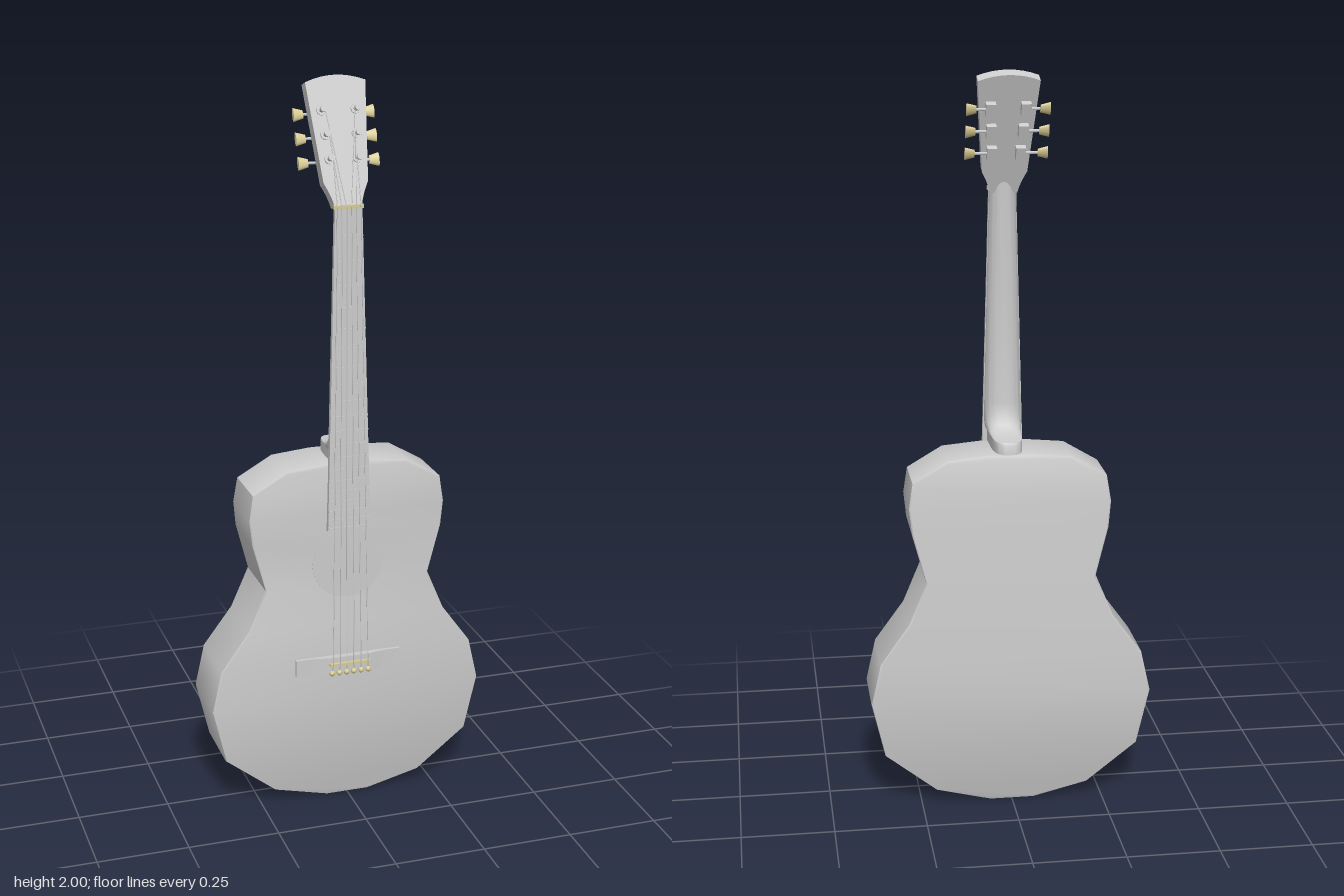
import * as THREE from 'three';
import { toCreasedNormals } from 'three/addons/utils/BufferGeometryUtils.js';

const grey = new THREE.MeshStandardMaterial({ color: 0xcccccc });
const ivory = new THREE.MeshStandardMaterial({ color: 0xd8cb94 });
const V = (x, y, z) => new THREE.Vector3(x, y, z);

function add(parent, name, geometry, material = grey, x = 0, y = 0, z = 0) {
  const mesh = new THREE.Mesh(geometry, material);
  mesh.name = name;
  mesh.position.set(x, y, z);
  parent.add(mesh);
  return mesh;
}

// Skin a list of equal rings; each end is closed by strips joining point i to its mirror point.
function loft(rings, crease = 0.5) {
  const n = rings[0].length, last = (rings.length - 1) * n, index = [];
  const quad = (a, b, c, d) => index.push(a, b, c, a, c, d);
  for (let r = 0; r < rings.length - 1; r++) {
    for (let i = 0; i < n; i++) {
      const a = r * n, j = (i + 1) % n;
      quad(a + i, a + n + i, a + n + j, a + j);
    }
  }
  for (let i = 0; i < n / 2 - 1; i++) {
    const m = n - 1 - i;
    quad(i, i + 1, m - 1, m);
    quad(last + m, last + m - 1, last + i + 1, last + i);
  }
  const geometry = new THREE.BufferGeometry().setFromPoints(rings.flat());
  geometry.setIndex(index);
  return toCreasedNormals(geometry, crease);
}

// Thin round bar between two points
function rod(parent, name, a, b, radius, material = grey) {
  const mesh = add(parent, name, new THREE.CylinderGeometry(radius, radius, a.distanceTo(b), 6), material);
  mesh.position.copy(a).lerp(b, 0.5);
  mesh.quaternion.setFromUnitVectors(V(0, 1, 0), b.clone().sub(a).normalize());
}

function buildBody(model) {
  const half = [[0.06, 0.003], [0.21, 0.04], [0.35, 0.15], [0.386, 0.305], [0.36, 0.42], [0.28, 0.53],
    [0.232, 0.645], [0.268, 0.78], [0.275, 0.85], [0.264, 0.92], [0.168, 0.977], [0.06, 0.987]];
  const outline = [...half, ...half.map(([x, y]) => [-x, y]).reverse()];
  // The back tapers toward the neck
  const back = y => -0.116 + 0.04 * Math.pow(Math.max(0, (y - 0.42) / 0.57), 1.2);
  const ring = (s, z) => outline.map(([x, y]) => V(x * s, 0.5 + (y - 0.5) * s, z(y)));
  add(model, 'body', loft([
    ring(0.985, () => 0.084), ring(0.996, () => 0.082), ring(1, () => 0.077),
    ring(1, y => back(y) + 0.009), ring(0.996, y => back(y) + 0.003), ring(0.982, back),
  ], 0.6));
  const hole = add(model, 'soundHole', new THREE.CylinderGeometry(0.1, 0.1, 0.002, 40), grey, 0, 0.7, 0.0842);
  hole.rotation.x = Math.PI / 2;
}

function buildNeck(model) {
  // Height, half width, front z, back z, squareness of the rounded back
  const rows = [[1.72, 0.034, 0.064, 0.042, 1], [1.68, 0.036, 0.078, 0.044, 1], [1.4, 0.043, 0.081, 0.043, 1],
    [1.1, 0.05, 0.085, 0.043, 0.9], [1.065, 0.05, 0.085, 0.038, 0.85], [1.042, 0.05, 0.085, 0.025, 0.75],
    [1.028, 0.048, 0.085, 0.002, 0.65], [1.021, 0.045, 0.085, -0.03, 0.55], [1.018, 0.042, 0.085, -0.068, 0.5],
    [1.01, 0.042, 0.085, -0.073, 0.5], [0.972, 0.042, 0.084, -0.073, 0.5]];
  const steps = 17;
  add(model, 'neck', loft(rows.map(([y, w, front, back, p]) => Array.from({ length: steps + 1 }, (_, i) => {
    const t = Math.PI * i / steps, c = Math.cos(t);
    return V(w * Math.sign(c) * Math.pow(Math.abs(c), p), y, front - (front - back) * Math.pow(Math.abs(Math.sin(t)), p));
  })), 0.7));

  const slab = (y, w, front, back) => [V(w, y, front), V(w, y, back), V(-w, y, back), V(-w, y, front)];
  add(model, 'fretboard', loft([slab(1.675, 0.037, 0.088, 0.076), slab(0.8, 0.06, 0.098, 0.083)]));

  // Frets follow equal-tempered spacing
  for (let n = 1; n <= 20; n++) {
    const y = 0.41 + 1.265 * Math.pow(2, -n / 12), t = (1.675 - y) / 0.875;
    add(model, 'fret', new THREE.BoxGeometry(0.074 + 0.046 * t, 0.004, 0.004), grey, 0, y, 0.088 + 0.01 * t);
  }
  add(model, 'nut', new THREE.BoxGeometry(0.08, 0.01, 0.016), ivory, 0, 1.68, 0.083);
}

// Headstock with its tuners; returns the string anchor points from the lowest post upward
function buildHeadstock(model) {
  const head = new THREE.Group();
  head.name = 'headstock';
  head.position.set(0, 1.682, 0.085);
  head.rotation.x = -0.35;
  model.add(head);

  const shape = new THREE.Shape();
  shape.moveTo(-0.037, 0);
  shape.lineTo(0.037, 0);
  shape.quadraticCurveTo(0.041, 0.025, 0.06, 0.062);
  shape.lineTo(0.081, 0.322);
  shape.quadraticCurveTo(0, 0.354, -0.081, 0.322);
  shape.lineTo(-0.06, 0.062);
  shape.quadraticCurveTo(-0.041, 0.025, -0.037, 0);
  const plate = new THREE.ExtrudeGeometry(shape, { depth: 0.033, bevelEnabled: false, curveSegments: 8 });
  add(head, 'headstockPlate', toCreasedNormals(plate.translate(0, 0, -0.033), 0.5));

  head.updateMatrixWorld(true);
  const anchors = { '1': [], '-1': [] };
  for (const side of [1, -1]) {
    for (let i = 0; i < 3; i++) {
      const y = 0.122 + 0.063 * i, x = side * (0.038 + 0.004 * i);
      const post = (name, r, length, z) => {
        add(head, name, new THREE.CylinderGeometry(r, r, length, 12), grey, x, y, z).rotation.x = Math.PI / 2;
      };
      post('postWasher', 0.013, 0.005, 0.002);
      post('tunerPost', 0.006, 0.028, 0.013);
      post('postCap', 0.009, 0.006, 0.025);
      // Housing, shaft and button behind the plate
      add(head, 'tunerHousing', new THREE.BoxGeometry(0.026, 0.034, 0.02), grey, x, y, -0.042);
      rod(head, 'tunerShaft', V(x, y, -0.043), V(side * 0.088, y, -0.043), 0.004);
      const button = add(head, 'tunerButton', new THREE.CylinderGeometry(0.018, 0.011, 0.026, 16), ivory, side * 0.096, y, -0.043);
      button.rotation.z = -side * Math.PI / 2;
      button.scale.z = 0.45;
      anchors[side].push(head.localToWorld(V(x - side * 0.006, y, 0.016)));
    }
  }
  return anchors;
}

function buildBridge(model) {
  const stations = [0.15, 0.1, 0.085, 0.06, 0.03, 0, -0.03, -0.06, -0.085, -0.1, -0.15];
  add(model, 'bridge', loft(stations.map(x => {
    const a = Math.abs(x);
    const bottom = 0.382 - 0.021 * Math.max(0, 1 - (a / 0.092) ** 2);
    const front = 0.093 + 0.009 * THREE.MathUtils.smoothstep(0.11 - a, 0, 0.06);
    return [V(x, bottom, 0.08), V(x, 0.43, 0.08), V(x, 0.43, front), V(x, bottom, front)];
  })));
  add(model, 'saddle', new THREE.BoxGeometry(0.115, 0.007, 0.014), ivory, 0, 0.411, 0.104);
}

function buildStrings(model, anchors) {
  for (let i = 0; i < 6; i++) {
    const u = i / 2.5 - 1, side = Math.sign(u), radius = 0.0011 + 0.0002 * (5 - i) / 5;
    const pin = V(u * 0.052, 0.387, 0.106), saddle = V(u * 0.05, 0.411, 0.112), nut = V(u * 0.032, 1.68, 0.092);
    const post = anchors[side][side > 0 ? 5 - i : i];
    add(model, 'bridgePin', new THREE.SphereGeometry(0.008, 12, 8), ivory, pin.x, pin.y, 0.108);
    rod(model, 'string', pin, saddle, radius);
    rod(model, 'string', saddle, nut, radius);
    rod(model, 'string', nut, post, radius);
  }
}

export function createModel() {
  const model = new THREE.Group();
  model.name = 'acousticGuitar';
  buildBody(model);
  buildNeck(model);
  const anchors = buildHeadstock(model);
  buildBridge(model);
  buildStrings(model, anchors);
  return model;
}
